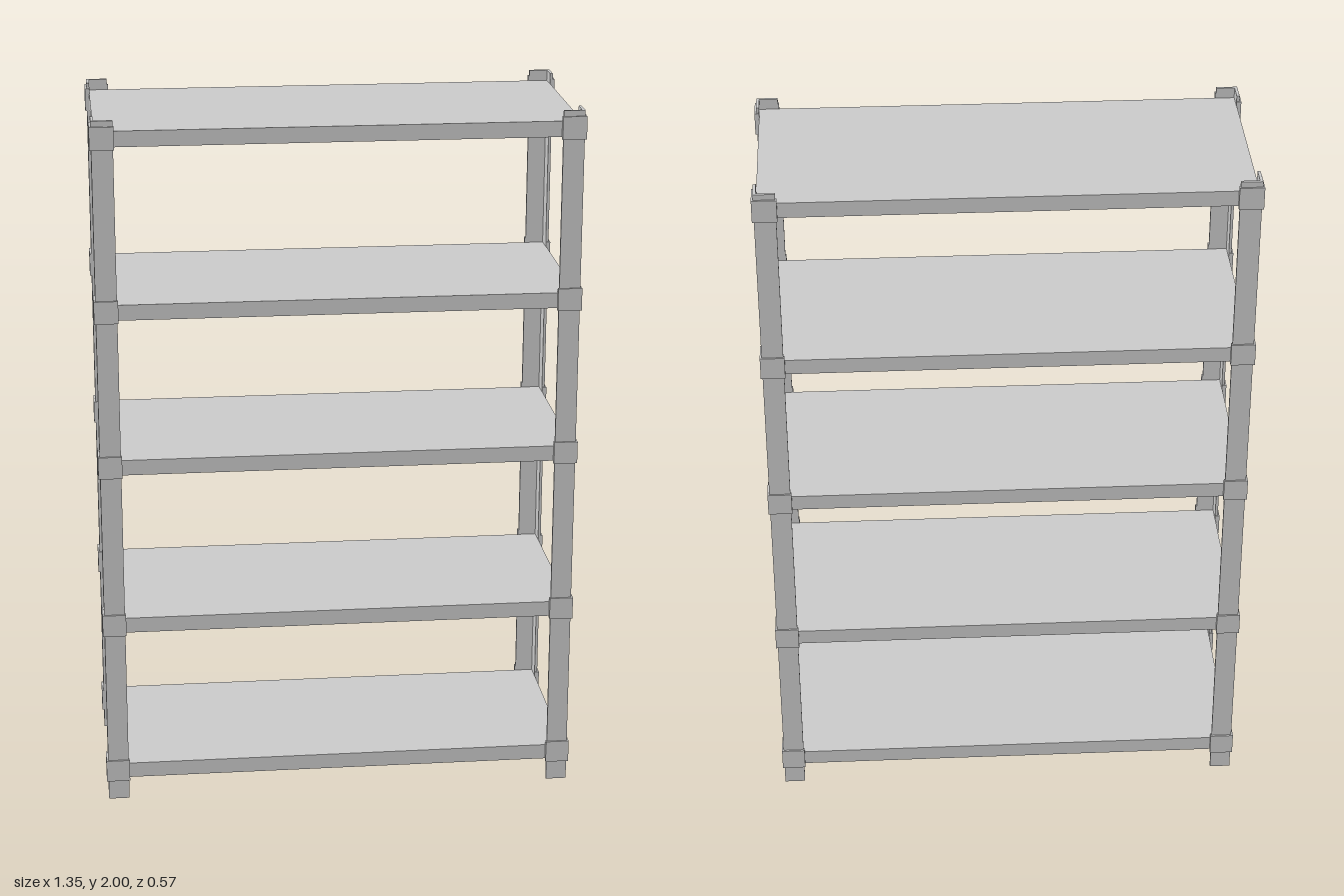
import * as THREE from 'three';

const material = new THREE.MeshStandardMaterial({ color: 0xcccccc, flatShading: true });

// L-shaped angle section, extruded upwards; sx and sz choose the corner
function angleBar(name, sx, sz, x, z, leg, thick, y0, y1) {
  const points = [
    [x, z], [x - leg, z], [x - leg, z - thick],
    [x - thick, z - thick], [x - thick, z - leg], [x, z - leg],
  ].map(([px, pz]) => new THREE.Vector2(px * sx, -pz * sz));
  const geometry = new THREE.ExtrudeGeometry(new THREE.Shape(points), {
    depth: y1 - y0, bevelEnabled: false,
  });
  geometry.rotateX(-Math.PI / 2).translate(0, y0, 0);
  const mesh = new THREE.Mesh(geometry, material);
  mesh.name = name;
  return mesh;
}

export function createModel() {
  const model = new THREE.Group();
  model.name = 'shelvingUnit';
  const shelfCentres = [0.085, 0.538, 1.013, 1.463, 1.948];

  // Shelf boards
  for (const y of shelfCentres) {
    const shelf = new THREE.Mesh(new THREE.BoxGeometry(1.328, 0.044, 0.546), material);
    shelf.name = 'shelf';
    shelf.position.y = y;
    model.add(shelf);
  }

  // Corner posts with a wrap-around bracket at every shelf
  for (const sx of [-1, 1]) {
    for (const sz of [-1, 1]) {
      const corner = new THREE.Group();
      corner.name = (sz > 0 ? 'front' : 'back') + (sx > 0 ? 'Left' : 'Right') + 'Corner';
      corner.add(angleBar('post', sx, sz, 0.671, 0.28, 0.059, 0.008, 0, 2));
      for (const y of shelfCentres) {
        corner.add(angleBar('bracket', sx, sz, 0.676, 0.285, 0.067, 0.013, y - 0.028, y + 0.036));
      }
      model.add(corner);
    }
  }
  return model;
}
